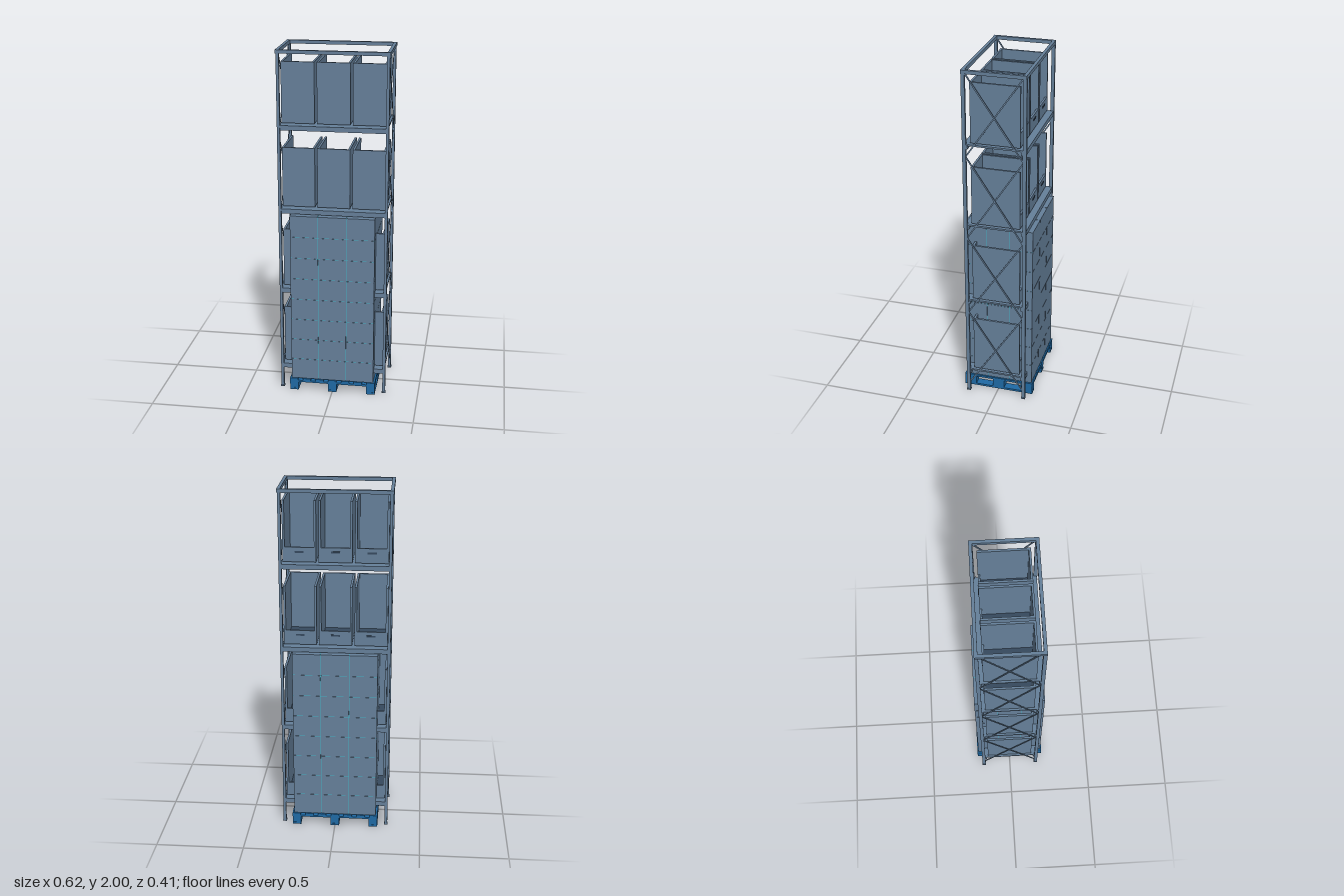
import * as THREE from 'three';

const mat = (name, color) => {
  const m = new THREE.MeshStandardMaterial({ color });
  m.name = name;
  return m;
};

export function createModel() {
  const steel = mat('greyBlue', 0x66809a);
  const dark = mat('darkBlueGrey', 0x36495e);
  const blue = mat('palletBlue', 0x1f6aa5);
  const cyan = mat('cyanSeam', 0x45b4c8);

  const model = new THREE.Group();
  model.name = 'storageRack';

  const group = (name, parent = model) => {
    const g = new THREE.Group();
    g.name = name;
    parent.add(g);
    return g;
  };
  // Box given by its minimum and maximum on each axis
  const box = (name, parent, material, [x0, x1], [y0, y1], [z0, z1]) => {
    const mesh = new THREE.Mesh(new THREE.BoxGeometry(x1 - x0, y1 - y0, z1 - z0), material);
    mesh.position.set((x0 + x1) / 2, (y0 + y1) / 2, (z0 + z1) / 2);
    mesh.name = name;
    parent.add(mesh);
    return mesh;
  };
  // Range centred on c with full width w
  const span = (c, w) => [c - w / 2, c + w / 2];

  // Rack frame: posts, feet and the top rails
  const frame = group('rackFrame');
  for (const sx of [-1, 1]) {
    for (const sz of [-1, 1]) {
      box('post', frame, steel, span(sx * 0.3, 0.016), [0.008, 1.98], span(sz * 0.167, 0.02));
      box('foot', frame, steel, span(sx * 0.3, 0.022), [0, 0.008], span(sz * 0.167, 0.024));
    }
    box('topSideRail', frame, steel, span(sx * 0.303, 0.018), [1.98, 2], [-0.159, 0.159]);
    box('topLongRail', frame, steel, [-0.312, 0.312], [1.98, 2], span(sx * 0.168, 0.018));
  }

  // Cross braces on both ends
  const braces = group('crossBraces');
  const levels = [1.985, 1.515, 1.025, 0.545, 0.055];
  for (const sx of [-1, 1]) {
    for (let i = 0; i < 4; i++) {
      const h = levels[i] - levels[i + 1];
      for (const s of [-1, 1]) {
        const brace = new THREE.Mesh(new THREE.BoxGeometry(0.004, Math.hypot(h, 0.32), 0.008), steel);
        brace.name = 'brace';
        brace.position.set(sx * 0.3 + s * 0.002, levels[i] - h / 2, 0);
        brace.rotation.x = s * Math.atan2(0.32, h);
        braces.add(brace);
      }
    }
  }

  // Open-backed bin standing on a shelf
  const addBin = (parent, x, y) => {
    const bin = group('bin', parent);
    bin.position.set(x, y, 0);
    const w = 0.184, t = 0.012, h = 0.34, z0 = -0.139, z1 = 0.136;
    const inner = [-w / 2 + t, w / 2 - t];
    box('binBase', bin, steel, inner, [0, 0.006], [z0 + t, z1 - t]);
    box('binFloor', bin, dark, inner, [0.006, 0.009], [z0 + t, z1 - t]);
    box('binFrontWall', bin, steel, inner, [0, h], [z1 - t, z1]);
    box('binBackLip', bin, steel, inner, [0, 0.082], [z0, z0 + t]);
    for (const s of [-1, 1]) box('binSideWall', bin, steel, span(s * (w - t) / 2, t), [0, h], [z0, z1]);
    box('binHandle', bin, dark, [-0.025, 0.025], [0.052, 0.062], [z0 - 0.003, z0]);
  };

  // Four loaded shelves
  for (const y of [0.15, 0.628, 1.107, 1.586]) {
    const shelf = group('shelf');
    box('shelfPanel', shelf, steel, [-0.3, 0.3], [y - 0.01, y], [-0.157, 0.157]);
    for (const s of [-1, 1])
      box('shelfBeam', shelf, steel, [-0.306, 0.306], [y - 0.027, y], span(s * 0.161, 0.026));
    for (const x of [-0.198, 0, 0.198]) addBin(shelf, x, y + 0.006);
  }

  // Pallet: skids, blocks, cross stringers and deck boards
  const pallet = group('pallet');
  for (const x of [-0.225, 0, 0.225]) {
    box('skid', pallet, blue, span(x, 0.05), [0, 0.012], [-0.207, 0.207]);
    for (const z of [-0.172, 0, 0.172])
      box('block', pallet, blue, span(x, 0.05), [0.012, 0.05], span(z, 0.068));
  }
  for (const z of [-0.172, 0, 0.172])
    box('stringer', pallet, blue, [-0.25, 0.25], [0.05, 0.061], span(z, 0.07));
  for (let i = 0; i < 7; i++)
    box('deckBoard', pallet, blue, span((i - 3) * 0.0755, 0.047), [0.061, 0.073], [-0.207, 0.207]);

  // Stacked cartons around a seam-coloured core
  const stack = group('cartonStack');
  const y0 = 0.073, layer = 0.1256, gap = 0.003;
  box('stackCore', stack, cyan, [-0.238, 0.238], [y0 + 0.002, y0 + 8 * layer - 0.004], [-0.198, 0.198]);
  for (let i = 0; i < 8; i++)
    for (let j = -1; j <= 1; j++)
      for (let k = -1; k <= 1; k++)
        box('carton', stack, steel, span(j * 0.161, 0.161 - gap),
          [y0 + i * layer, y0 + (i + 1) * layer - 0.002], span(k * 0.134, 0.134 - gap));

  return model;
}
